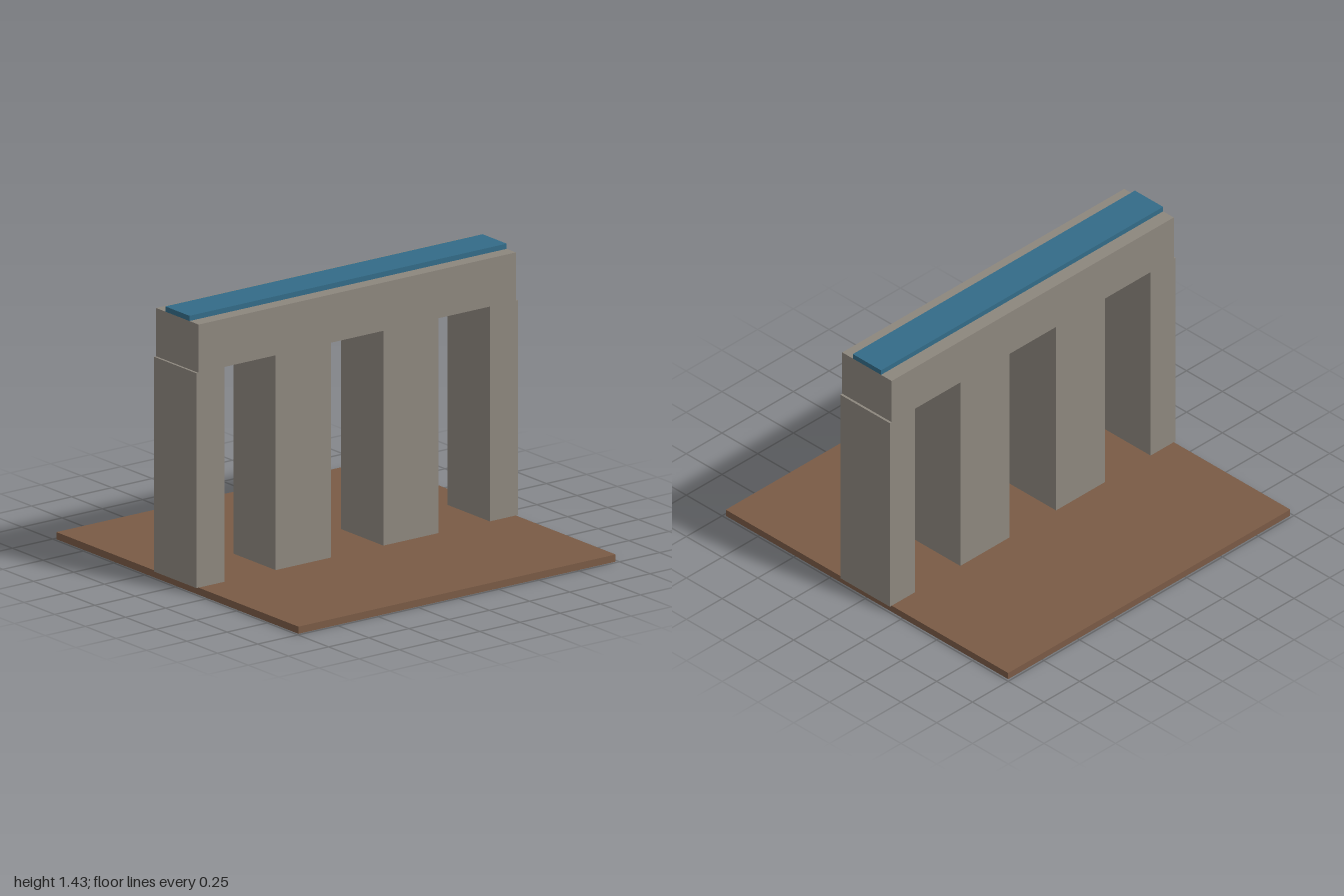
import * as THREE from 'three';

const stone = new THREE.MeshStandardMaterial({ name: 'stone', color: 0x8c867d });
const earth = new THREE.MeshStandardMaterial({ name: 'earth', color: 0x795a45 });
const water = new THREE.MeshStandardMaterial({ name: 'water', color: 0x336b87 });

const HALF = 0.987;      // half length of ground, beam and channel
const GROUND = 0.037;    // ground top
const SPRING = 1.15;     // pillar top
const DECK = 1.4;        // beam top
const DEPTH = 0.346;     // stone thickness

export function createModel() {
  const model = new THREE.Group();
  model.name = 'aqueduct';

  // Box spanning x0..x1 and y0..y1, centred on z = 0
  const addBox = (name, x0, x1, y0, y1, depth, material) => {
    const mesh = new THREE.Mesh(new THREE.BoxGeometry(x1 - x0, y1 - y0, depth), material);
    mesh.position.set((x0 + x1) / 2, (y0 + y1) / 2, 0);
    mesh.name = name;
    model.add(mesh);
  };

  addBox('ground', -HALF, HALF, 0, GROUND, 2 * HALF, earth);

  // Narrow outer and wide inner pillars, mirrored
  for (const [name, inner, outer] of [['innerPillar', 0.163, 0.507], ['outerPillar', 0.825, 1]]) {
    addBox(name + 'Left', inner, outer, GROUND, SPRING, DEPTH, stone);
    addBox(name + 'Right', -outer, -inner, GROUND, SPRING, DEPTH, stone);
  }

  // Beam carrying the water channel
  addBox('beam', -HALF, HALF, SPRING, DECK, DEPTH, stone);
  addBox('waterChannel', -HALF, HALF, DECK, 1.427, 0.197, water);

  return model;
}
